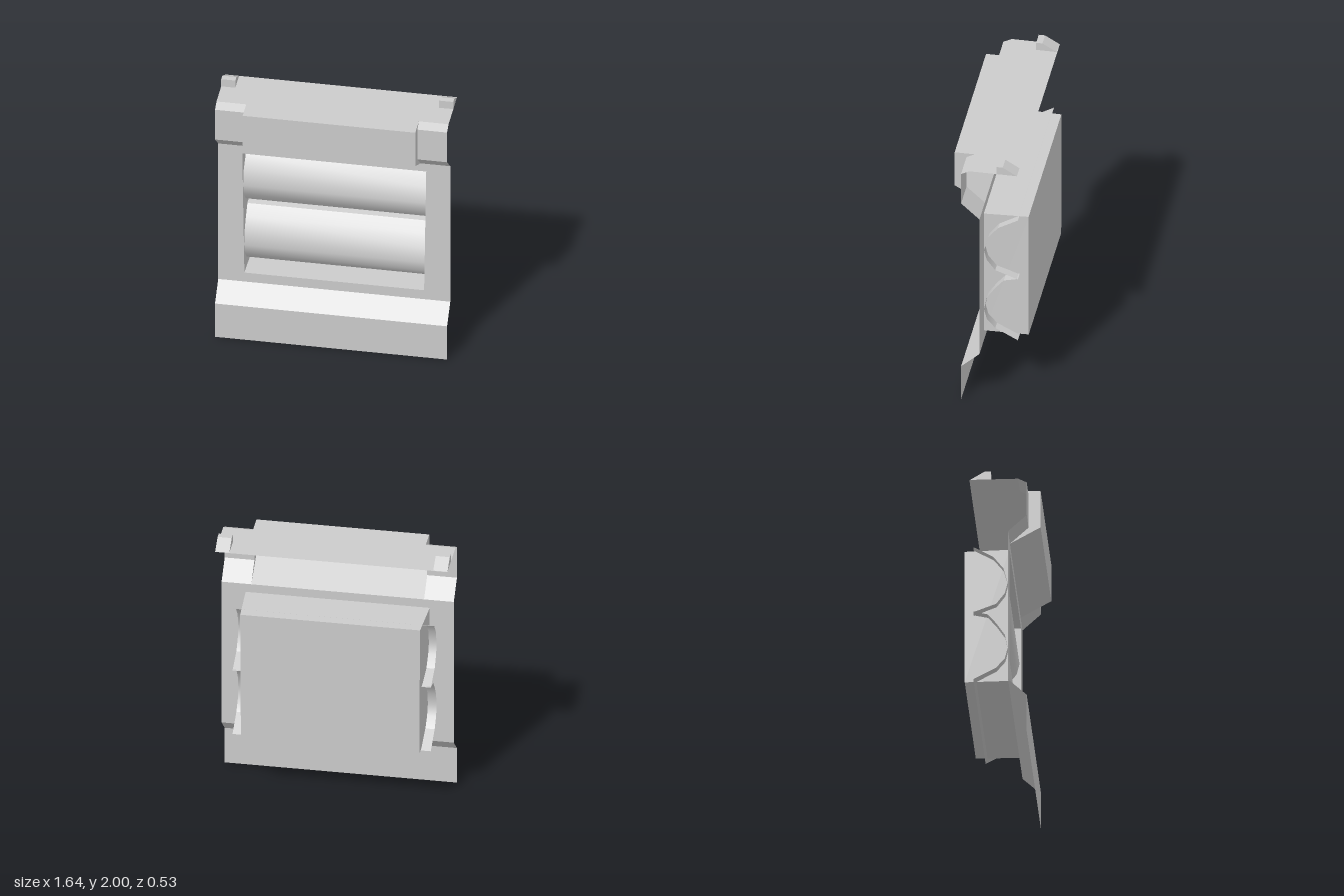
import * as THREE from 'three';

const mat = new THREE.MeshStandardMaterial({ color: 0xcccccc, side: THREE.DoubleSide });

export function createModel() {
  const model = new THREE.Group();
  const add = (name, geo) => {
    const mesh = new THREE.Mesh(geo, mat);
    mesh.name = name;
    model.add(mesh);
    return mesh;
  };

  // Sheet spanning x0..x1 along a [z, y] profile; flat bends unless smooth
  const sheet = (name, profile, x0, x1, smooth = false) => {
    const pos = [], idx = [];
    profile.forEach(([z, y], i) => {
      pos.push(x0, y, z, x1, y, z);
      if (i) {
        const a = 2 * i - 2;
        idx.push(a, a + 2, a + 3, a, a + 3, a + 1);
      }
    });
    let geo = new THREE.BufferGeometry();
    geo.setAttribute('position', new THREE.Float32BufferAttribute(pos, 3));
    geo.setIndex(idx);
    if (!smooth) geo = geo.toNonIndexed();
    geo.computeVertexNormals();
    return add(name, geo);
  };

  // Shape drawn in the z/y plane, turned to face sideways
  const sideShape = (profile) => new THREE.Shape(profile.map(([z, y]) => new THREE.Vector2(-z, y)));

  // Front panel with a slightly tapered window
  const W = 0.82, step = 0.61;
  const opening = [[-0.65, 1.475], [-0.635, 0.475], [0.635, 0.475], [0.65, 1.475]];
  const panel = new THREE.Shape([[-W, 0.4], [W, 0.4], [W, 1.54], [-W, 1.54]].map((p) => new THREE.Vector2(...p)));
  panel.holes.push(new THREE.Path(opening.map((p) => new THREE.Vector2(...p))));
  add('frontPanel', new THREE.ShapeGeometry(panel).translate(0, 0, 0.05));

  // Flared skirt
  sheet('skirt', [[0.05, 0.4], [0.18, 0.28], [0.18, 0]], -W, W);

  // Top cover: projecting middle with recessed shoulders
  const middle = [[-0.22, 1.94], [0.264, 1.94], [0.264, 1.66], [0.05, 1.54]];
  const shoulder = [[-0.22, 1.94], [0.12, 1.94], [0.18, 1.91], [0.18, 1.66], [0.05, 1.54]];
  sheet('coverMiddle', middle, -step, step);
  const stepWall = [[0.264, 1.94], [0.12, 1.94], [0.18, 1.91], [0.18, 1.66], [0.05, 1.54], [0.264, 1.66]];
  const tab = [[-0.07, 1.94], [-0.07, 2], [-0.115, 2], [-0.215, 1.94]];
  for (const s of [-1, 1]) {
    const side = s > 0 ? 'left' : 'right';
    sheet(side + 'CoverShoulder', shoulder, s > 0 ? step : -W, s > 0 ? W : -step);
    add(side + 'CoverStep', new THREE.ShapeGeometry(sideShape(stepWall)).rotateY(Math.PI / 2).translate(s * step, 0, 0));
    // Wedge tab on the back corner
    add(side + 'Tab', new THREE.ExtrudeGeometry(sideShape(tab), { depth: 0.1, bevelEnabled: false })
      .rotateY(Math.PI / 2).translate(s > 0 ? 0.72 : -W, 0, 0));
  }

  // Recessed housing behind the window: four walls and a back
  const rear = [[-0.635, 1.475], [-0.63, 0.475], [0.63, 0.475], [0.635, 1.475]];
  const walls = [];
  for (let i = 0; i < 4; i++) {
    const j = (i + 1) % 4;
    const a = [...opening[i], 0.05], b = [...opening[j], 0.05];
    const c = [...rear[j], -0.264], d = [...rear[i], -0.264];
    walls.push(...a, ...c, ...b, ...a, ...d, ...c);
  }
  const housing = new THREE.BufferGeometry();
  housing.setAttribute('position', new THREE.Float32BufferAttribute(walls, 3));
  housing.computeVertexNormals();
  add('housingWalls', housing);
  const back = new THREE.Shape(rear.map((p) => new THREE.Vector2(...p)));
  add('housingBack', new THREE.ShapeGeometry(back).rotateY(Math.PI).translate(0, 0, -0.264));

  // Two open rollers, each a curved face between a top and a bottom flap
  const rollers = {
    upperRoller: [[-0.2, 1.48], [-0.06, 1.4], [0.01, 1.31], [0.04, 1.2], [0.02, 1.12], [-0.04, 1.04], [-0.2, 0.98]],
    lowerRoller: [[-0.2, 0.985], [-0.1, 0.96], [-0.04, 0.89], [0.02, 0.8], [0.04, 0.7], [0.02, 0.62], [-0.04, 0.55], [-0.2, 0.465]],
  };
  for (const [name, p] of Object.entries(rollers)) {
    sheet(name + 'Top', p.slice(0, 2), -0.7, 0.7);
    sheet(name + 'Face', p.slice(1, -1), -0.7, 0.7, true);
    sheet(name + 'Bottom', p.slice(-2), -0.7, 0.7);
  }
  return model;
}
